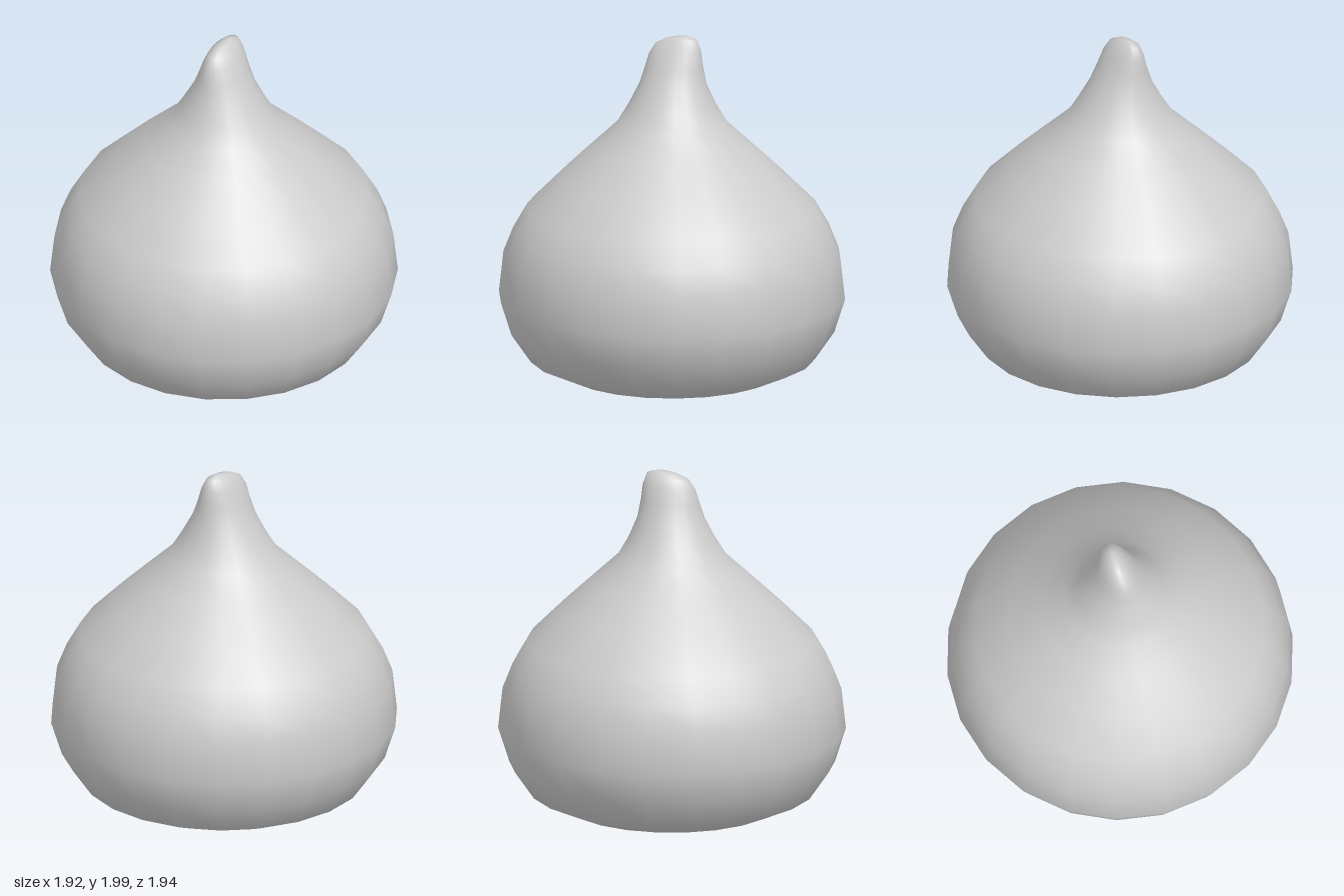
import * as THREE from 'three';
import { mergeVertices } from 'three/addons/utils/BufferGeometryUtils.js';

export function createModel() {
  const grey = new THREE.MeshStandardMaterial({ color: 0xcccccc });
  grey.name = 'light grey';

  // Plump drop profile: radius, height
  const profile = [
    [0, 0], [0.24, 0.007], [0.6, 0.06], [0.8, 0.15], [0.91, 0.31], [0.97, 0.5],
    [0.945, 0.73], [0.89, 0.87], [0.81, 1.01], [0.62, 1.2], [0.45, 1.36], [0.31, 1.49],
    [0.245, 1.6], [0.19, 1.72], [0.165, 1.82], [0.15, 1.9], [0.12, 1.96], [0.06, 1.985], [0, 1.988],
  ].map(([r, y]) => new THREE.Vector2(r, y));

  // Weld the seam so the shading stays smooth all round
  let drop = new THREE.LatheGeometry(profile, 22);
  drop.deleteAttribute('uv');
  drop.deleteAttribute('normal');
  drop = mergeVertices(drop, 1e-5);

  // Pinch the tip into a short diagonal ridge that tilts and leans back
  const p = drop.attributes.position;
  for (let i = 0; i < p.count; i++) {
    const y = p.getY(i);
    const t = Math.max(0, (y - 1.5) / 0.5);
    const u = (p.getX(i) - p.getZ(i)) * Math.SQRT1_2;
    const v = (p.getX(i) + p.getZ(i)) * Math.SQRT1_2 * (1 - 0.6 * t * t);
    p.setXYZ(i,
      (u + v) * Math.SQRT1_2,
      y + 0.18 * u * t * t * t,
      (v - u) * Math.SQRT1_2 - 0.03 * t * t);
  }
  drop.computeVertexNormals();

  const body = new THREE.Mesh(drop, grey);
  body.name = 'dropBody';
  const group = new THREE.Group();
  group.name = 'drop';
  group.add(body);
  return group;
}
